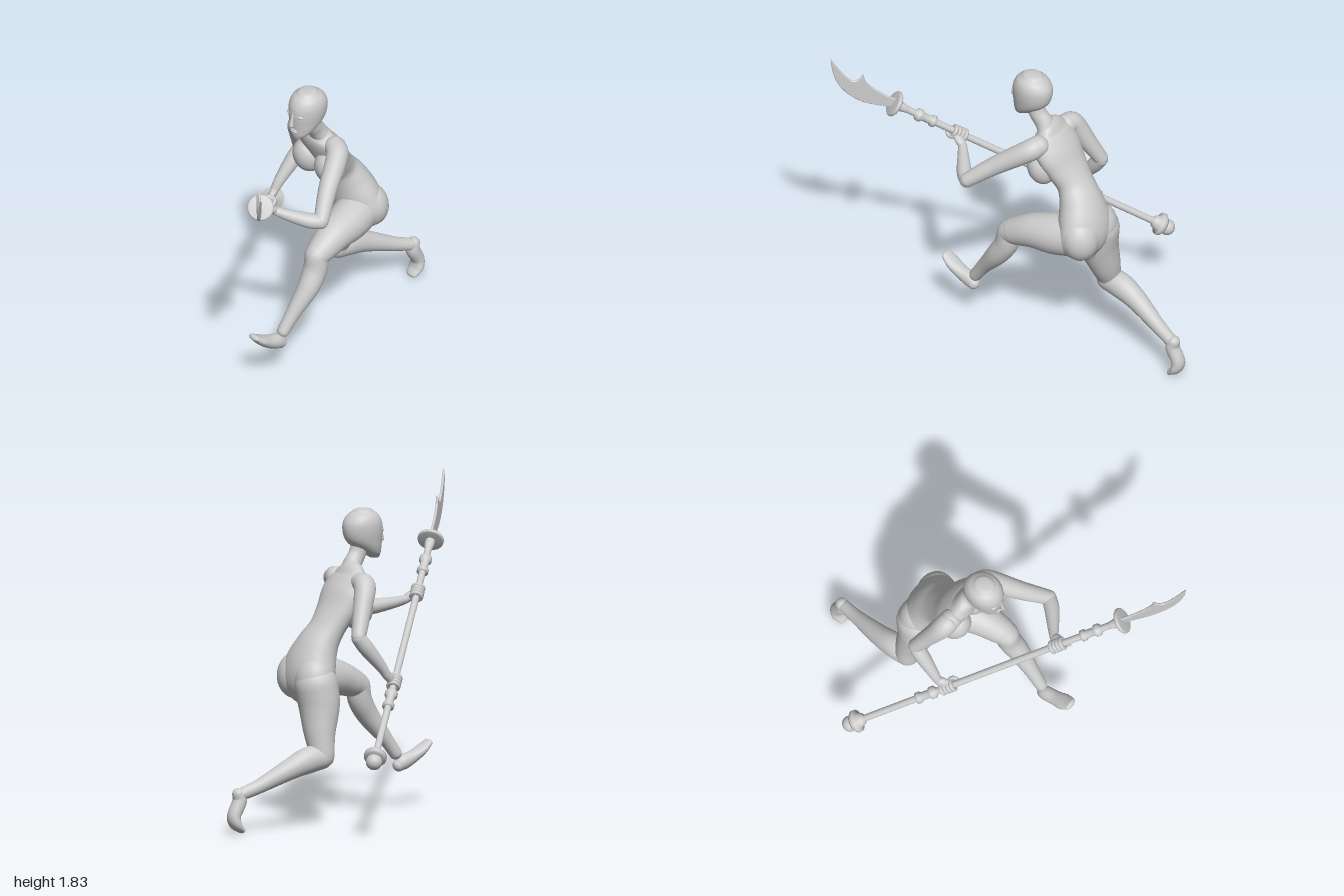
import * as THREE from 'three';

const V = (x, y, z) => new THREE.Vector3(x, y, z);
const mat = new THREE.MeshStandardMaterial({ color: 0xcccccc });
const X = V(1, 0, 0), Y = V(0, 1, 0);

function add(parent, name, geo) {
  const m = new THREE.Mesh(geo, mat);
  m.name = name;
  parent.add(m);
  return m;
}

// Smooth body from elliptical sections [x, y, z, half width, half depth], with rounded ends.
// side: direction of the width; dir: fixed section normal (otherwise follows the path).
function loft(rows, { side = X, dir = null, cap = 0.9, seg = 28 } = {}) {
  const path = new THREE.CatmullRomCurve3(rows.map(r => V(r[0], r[1], r[2])), false, 'catmullrom', 0.5);
  const size = new THREE.CatmullRomCurve3(rows.map(r => V(r[3], r[4] ?? r[3], 0)), false, 'catmullrom', 0.5);
  const rings = [], n = (rows.length - 1) * 6, domes = 6;
  const ring = (u, phi, sign) => {
    const t = dir ? dir.clone() : path.getTangent(u), r = size.getPoint(u), k = Math.max(Math.cos(phi), 0.01);
    const c = path.getPoint(u).addScaledVector(t, sign * Math.sin(phi) * Math.min(r.x, r.y) * cap);
    rings.push({ c, t, a: r.x * k, b: r.y * k });
  };
  for (let i = domes; i > 0; i--) ring(0, i / domes * Math.PI / 2, -1);
  for (let i = 0; i <= n; i++) ring(i / n, 0, 0);
  for (let i = 1; i <= domes; i++) ring(1, i / domes * Math.PI / 2, 1);
  const pos = [], idx = [];
  rings.forEach(({ c, t, a, b }, i) => {
    const s = side.clone().addScaledVector(t, -side.dot(t)).normalize(), f = t.clone().cross(s);
    for (let j = 0; j < seg; j++) {
      const q = j / seg * Math.PI * 2;
      const p = c.clone().addScaledVector(s, a * Math.cos(q)).addScaledVector(f, b * Math.sin(q));
      pos.push(p.x, p.y, p.z);
      if (i < rings.length - 1) {
        const A = i * seg + j, B = i * seg + (j + 1) % seg;
        idx.push(A, B, A + seg, B, B + seg, A + seg);
      }
    }
  });
  const g = new THREE.BufferGeometry();
  g.setAttribute('position', new THREE.Float32BufferAttribute(pos, 3));
  g.setIndex(idx);
  g.computeVertexNormals();
  return g;
}

function ellipsoid(parent, name, c, r, tilt = 0) {
  const m = add(parent, name, new THREE.SphereGeometry(1, 28, 20));
  m.position.set(...c);
  m.scale.set(...r);
  m.rotation.x = tilt;
  return m;
}

function buildTorso(g) {
  add(g, 'torso', loft([
    [0.06, 0.70, -0.38, 0.07, 0.06], [0.07, 0.76, -0.38, 0.16, 0.10], [0.08, 0.84, -0.38, 0.2, 0.125],
    [0.075, 0.93, -0.36, 0.178, 0.128], [0.06, 1.03, -0.325, 0.14, 0.112], [0.045, 1.12, -0.275, 0.122, 0.092],
    [0.045, 1.22, -0.21, 0.148, 0.09], [0.05, 1.31, -0.16, 0.17, 0.09], [0.055, 1.39, -0.115, 0.16, 0.075],
    [0.06, 1.44, -0.1, 0.11, 0.058], [0.07, 1.475, -0.085, 0.055, 0.045]], { seg: 40 }));
  for (const s of [-1, 1]) {
    ellipsoid(g, 'breast', [0.052 + s * 0.09, 1.225, -0.115], [0.092, 0.11, 0.085], 0.3);
    ellipsoid(g, 'glute', [0.08 + s * 0.09, 0.85, -0.4], [0.115, 0.135, 0.108], 0.15);
  }
  add(g, 'neck', loft([[0.068, 1.42, -0.11, 0.075, 0.05], [0.073, 1.48, -0.075, 0.053], [0.08, 1.53, -0.04, 0.05], [0.08, 1.6, -0.01, 0.055]]));
}

function buildHead(g) {
  const head = new THREE.Group();
  head.name = 'head';
  head.position.x = 0.08;
  g.add(head);
  // Skull and jaw, stacked from chin to crown
  add(head, 'skull', loft([
    [0, 1.503, 0.075, 0.033, 0.028], [0, 1.53, 0.052, 0.06, 0.058], [0, 1.57, 0.024, 0.08, 0.089],
    [0, 1.61, 0.005, 0.091, 0.112], [0, 1.66, -0.002, 0.099, 0.122], [0, 1.71, -0.004, 0.099, 0.118],
    [0, 1.75, -0.002, 0.085, 0.095], [0, 1.777, 0, 0.055, 0.06]], { dir: Y, cap: 0.25, seg: 40 }));
  add(head, 'nose', loft([[0, 1.675, 0.113, 0.009, 0.008], [0, 1.63, 0.124, 0.01, 0.012], [0, 1.602, 0.129, 0.015, 0.014]]));
  for (const s of [-1, 1]) {
    ellipsoid(head, 'eye', [s * 0.043, 1.662, 0.102], [0.022, 0.01, 0.011]).rotation.y = s * 0.35;
    add(head, 'brow', loft([[s * 0.016, 1.684, 0.112, 0.006], [s * 0.042, 1.69, 0.1, 0.006], [s * 0.068, 1.683, 0.08, 0.004]], { side: Y, seg: 10 }));
  }
  for (const y of [1.553, 1.565]) ellipsoid(head, 'lip', [0, y, 0.108], [0.027, 0.0065, 0.012]);
}

function buildLimbs(g) {
  const parts = {
    rightUpperArm: [[-0.08, 1.39, -0.12, 0.062], [-0.14, 1.365, -0.135, 0.063], [-0.2, 1.22, -0.2, 0.051], [-0.245, 1.11, -0.25, 0.042]],
    rightForearm: [[-0.245, 1.105, -0.25, 0.042], [-0.255, 1.04, -0.2, 0.045], [-0.27, 0.93, -0.11, 0.032], [-0.275, 0.875, -0.075, 0.025]],
    leftThigh: [[0.14, 0.84, -0.37, 0.125], [0.175, 0.818, -0.23, 0.122, 0.122], [0.2, 0.8, -0.1, 0.103], [0.215, 0.76, 0.01, 0.084], [0.22, 0.74, 0.055, 0.073]],
    leftShin: [[0.22, 0.74, 0.06, 0.07], [0.225, 0.65, 0.078, 0.07], [0.23, 0.55, 0.14, 0.063], [0.215, 0.42, 0.24, 0.043], [0.205, 0.32, 0.31, 0.036]],
    leftFoot: [[0.2, 0.25, 0.325, 0.036], [0.197, 0.268, 0.355, 0.042, 0.045], [0.195, 0.295, 0.42, 0.044, 0.037], [0.192, 0.333, 0.48, 0.05, 0.028], [0.19, 0.37, 0.525, 0.038, 0.018]],
    rightThigh: [[-0.02, 0.82, -0.39, 0.125], [-0.035, 0.7, -0.38, 0.123, 0.118], [-0.07, 0.55, -0.4, 0.097, 0.09], [-0.1, 0.45, -0.405, 0.074], [-0.105, 0.41, -0.405, 0.069]],
    rightShin: [[-0.105, 0.41, -0.41, 0.069], [-0.1, 0.4, -0.5, 0.072, 0.077], [-0.085, 0.355, -0.62, 0.061], [-0.045, 0.27, -0.8, 0.042], [-0.02, 0.23, -0.905, 0.037]],
    rightFoot: [[-0.018, 0.235, -0.925, 0.036], [-0.018, 0.19, -0.917, 0.042], [-0.018, 0.11, -0.955, 0.044, 0.038], [-0.018, 0.058, -0.945, 0.05, 0.031], [-0.018, 0.022, -0.908, 0.038, 0.018]],
  };
  for (const [name, rows] of Object.entries(parts)) add(g, name, loft(rows));
  add(g, 'leftUpperArm', loft([[0.18, 1.39, -0.12, 0.062], [0.24, 1.365, -0.08, 0.064], [0.33, 1.255, 0.08, 0.054], [0.42, 1.15, 0.215, 0.043]], { side: Y }));
  add(g, 'leftForearm', loft([[0.42, 1.145, 0.215, 0.043], [0.37, 1.155, 0.27, 0.044], [0.27, 1.185, 0.35, 0.032], [0.22, 1.205, 0.39, 0.025]], { side: Y }));
}

// Polearm and gripping fingers: local y runs along the shaft, local x lies in the blade's plane
function buildPolearm(g) {
  const start = V(-0.655, 0.46, -0.42), d = V(0.44, 1.49, 0.71).sub(start), len = d.length();
  d.normalize();
  const u = Y.clone().addScaledVector(d, -d.y).normalize();
  const pole = new THREE.Group();
  pole.name = 'polearm';
  pole.position.copy(start);
  pole.quaternion.setFromRotationMatrix(new THREE.Matrix4().makeBasis(u, d, u.clone().cross(d)));
  g.add(pole);

  const lathe = (name, pts) => add(pole, name, new THREE.LatheGeometry(pts.map(p => new THREE.Vector2(...p)), 28));
  lathe('shaft', [[0, 0], [0.02, 0], [0.02, len], [0, len]]);
  for (const y of [0.46, 1.6]) {
    lathe('collar', [[0.02, y], [0.034, y + 0.005], [0.034, y + 0.025], [0.025, y + 0.035], [0.025, y + 0.085],
      [0.037, y + 0.1], [0.037, y + 0.122], [0.02, y + 0.14]]);
  }
  lathe('bladeSocket', [[0.02, len - 0.09], [0.028, len - 0.05], [0.028, len - 0.01]]);
  lathe('guard', [[0, len - 0.014], [0.068, len - 0.014], [0.076, len - 0.006], [0.076, len + 0.006], [0.068, len + 0.014], [0, len + 0.014]]);
  lathe('pommelCup', [[0, 0.02], [0.05, 0.02], [0.066, 0.035], [0.066, 0.055], [0.045, 0.06], [0.034, 0.09], [0.02, 0.1]]);
  add(pole, 'pommelBall', new THREE.SphereGeometry(0.047, 24, 16));

  // Curved blade with a spur on its back
  const s = new THREE.Shape();
  s.moveTo(-0.03, 0);
  s.bezierCurveTo(-0.04, 0.07, -0.07, 0.12, -0.072, 0.19);
  s.bezierCurveTo(-0.075, 0.3, -0.04, 0.41, 0.09, 0.5);
  s.bezierCurveTo(0.06, 0.43, 0.03, 0.38, 0.022, 0.31);
  s.quadraticCurveTo(0.03, 0.275, 0.088, 0.275);
  s.lineTo(0.057, 0.238);
  s.bezierCurveTo(0.03, 0.17, 0.02, 0.1, 0.035, 0);
  const blade = add(pole, 'blade', new THREE.ExtrudeGeometry(s, {
    depth: 0.006, bevelThickness: 0.004, bevelSize: 0.004, bevelOffset: -0.004, bevelSegments: 1, curveSegments: 16 }));
  blade.position.set(0, len, -0.003);

  // Hands: palm against the shaft, four curled fingers and a thumb
  const hands = [['rightHand', 0.675, V(-0.275, 0.875, -0.075)], ['leftHand', 1.435, V(0.22, 1.205, 0.39)]];
  for (const [name, y, wrist] of hands) {
    const hand = new THREE.Group();
    hand.name = name;
    hand.position.y = y;
    pole.add(hand);
    pole.updateMatrixWorld(true);
    const w = hand.worldToLocal(wrist.clone()), out = V(w.x, 0, w.z).normalize();
    add(hand, 'palm', loft([[w.x, w.y, w.z, 0.026, 0.024], [(w.x + out.x * 0.03) / 2, w.y / 2, (w.z + out.z * 0.03) / 2, 0.034, 0.024],
      [out.x * 0.026, 0, out.z * 0.026, 0.036, 0.02]], { side: V(0.05, 1, 0.02).normalize() }));
    for (let i = 0; i < 4; i++) {
      const f = add(hand, 'finger', new THREE.TorusGeometry(0.029, 0.0125, 10, 24));
      f.rotation.x = Math.PI / 2;
      f.position.y = (i - 1.5) * 0.023;
    }
    add(hand, 'thumb', loft([[out.x * 0.035, 0.02, out.z * 0.035, 0.014], [out.x * 0.025 - out.z * 0.03, 0.045, out.z * 0.025 + out.x * 0.03, 0.012],
      [-out.z * 0.034, 0.062, out.x * 0.034, 0.01]], { side: V(0.3, 1, 0.2).normalize(), seg: 12 }));
  }
}

export function createModel() {
  const g = new THREE.Group();
  g.name = 'runningFigure';
  buildTorso(g);
  buildHead(g);
  buildLimbs(g);
  buildPolearm(g);
  return g;
}
